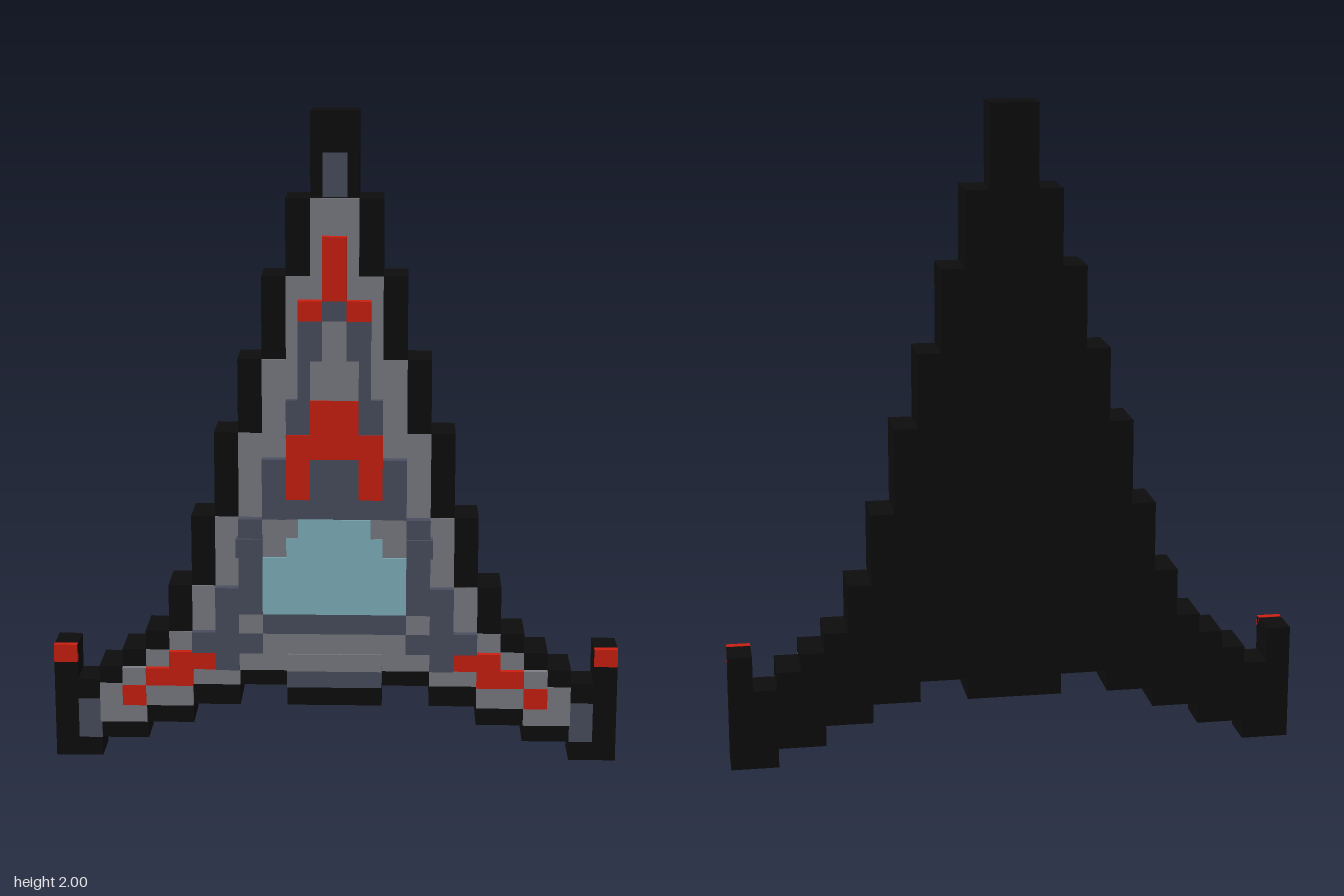
import * as THREE from 'three';

const P = 0.0725; // width of one column
const BACK = -0.1;
const mat = (color) => new THREE.MeshStandardMaterial({ color, flatShading: true });

export function createModel() {
  const model = new THREE.Group();
  const black = mat(0x0d0d0d), grey = mat(0x7b7d83), slate = mat(0x4a4d5f);
  const red = mat(0xcc1f10), glass = mat(0x80b2c0);

  function box(name, m, x0, x1, y0, y1, z0, z1) {
    const mesh = new THREE.Mesh(new THREE.BoxGeometry(x1 - x0, y1 - y0, z1 - z0), m);
    mesh.position.set((x0 + x1) / 2, (y0 + y1) / 2, (z0 + z1) / 2);
    mesh.name = name;
    model.add(mesh);
  }
  // x in columns from the centre line; a box starting at 0 spans both sides, others are mirrored
  function pair(name, m, c0, c1, y0, y1, z1, z0 = 0.03) {
    if (c0 === 0) return box(name, m, -c1 * P, c1 * P, y0, y1, z0, z1);
    box(name + 'Left', m, c0 * P, c1 * P, y0, y1, z0, z1);
    box(name + 'Right', m, -c1 * P, -c0 * P, y0, y1, z0, z1);
  }

  // black stepped hull: [column start, end, bottom, top]
  [[0, 1, 0.185, 1.75], [1, 2, 0.185, 1.75], [2, 3, 0.25, 1.52], [3, 4, 0.25, 1.27],
    [4, 5, 0.185, 1.045], [5, 6, 0.185, 0.785], [6, 7, 0.125, 0.567], [7, 8, 0.125, 0.42],
    [8, 9, 0.125, 0.36], [9, 10, 0.125, 0.305]]
    .forEach(([a, b, y0, y1]) => pair('hull', black, a, b, y0, y1, 0.055, BACK));
  pair('noseTip', black, 0, 1, 1.75, 2, 0.02, BACK);
  pair('wingUnderside', black, 8, 10, 0.06, 0.125, 0.02, BACK);
  pair('wingTipInner', black, 10, 11, 0, 0.25, 0.02, BACK);
  pair('wingTipOuter', black, 11, 12, 0, 0.36, 0.02, BACK);

  // grey plating inside the black outline
  [[0, 1, 0.3, 1.75], [1, 2, 0.3, 1.52], [2, 3, 0.3, 1.27], [3, 4, 0.3, 1.045],
    [4, 5, 0.25, 0.785], [5, 6, 0.25, 0.567], [6, 7, 0.185, 0.42], [7, 8, 0.185, 0.36],
    [8, 9, 0.125, 0.305], [9, 10, 0.125, 0.25]]
    .forEach(([a, b, y0, y1]) => pair('plating', grey, a, b, y0, y1, 0.058));

  // nose panels
  pair('noseInset', slate, 0, 0.5, 1.75, 1.88, 0.022, 0);
  pair('noseStripe', red, 0, 0.5, 1.45, 1.64, 0.09);
  pair('noseMark', red, 0.5, 1.5, 1.39, 1.45, 0.09);
  pair('noseBridge', slate, 0, 0.5, 1.39, 1.45, 0.085);
  pair('spine', grey, 0, 1, 1.15, 1.39, 0.08);
  pair('spineShoulder', slate, 0.5, 1.5, 1.27, 1.39, 0.085);
  pair('spineRail', slate, 1, 1.5, 1.15, 1.27, 0.085);
  pair('spineFoot', slate, 1, 2, 1.045, 1.15, 0.08);

  // red crest around the canopy hood
  pair('crestTop', red, 0, 1, 1.045, 1.15, 0.085);
  pair('crestBand', red, 0, 2, 0.97, 1.045, 0.085);
  pair('crestLeg', red, 1, 2, 0.845, 0.97, 0.085);
  pair('hood', slate, 0, 1, 0.785, 0.97, 0.085);
  pair('hoodCorner', slate, 1, 2, 0.785, 0.845, 0.085);
  pair('hoodSide', slate, 2, 3, 0.785, 0.97, 0.09);

  // stepped canopy and its frame
  pair('canopyTop', glass, 0, 1.5, 0.725, 0.785, 0.09);
  pair('canopyMiddle', glass, 0, 2, 0.667, 0.725, 0.09);
  pair('canopyBase', glass, 0, 3, 0.487, 0.667, 0.09);
  pair('canopyNotch', grey, 1.5, 3, 0.725, 0.785, 0.085);
  pair('canopyNotchLower', grey, 2, 3, 0.667, 0.725, 0.085);
  pair('canopySill', slate, 0, 3, 0.425, 0.487, 0.09);
  pair('frameTop', slate, 3, 4, 0.725, 0.785, 0.09);
  pair('frameBlock', slate, 3, 4.1, 0.667, 0.725, 0.1);
  pair('frameSide', slate, 3, 4, 0.487, 0.667, 0.095);
  pair('frameCorner', grey, 3, 4, 0.425, 0.487, 0.09);
  pair('frameFoot', slate, 3, 4, 0.36, 0.425, 0.085);

  // wing roots and wings
  pair('wingRoot', slate, 4, 5, 0.36, 0.567, 0.085);
  pair('wingRootOuter', slate, 5, 6, 0.36, 0.425, 0.085);
  pair('wingRootFoot', slate, 4, 5, 0.305, 0.36, 0.085);
  pair('wingStripeInner', red, 5, 7, 0.305, 0.36, 0.078);
  pair('wingStripeMiddle', red, 6, 8, 0.25, 0.305, 0.076);
  pair('wingStripeOuter', red, 8, 9, 0.185, 0.25, 0.075);
  pair('wingPlate', grey, 6, 8, 0.185, 0.25, 0.073);
  pair('wingPlateOuter', grey, 8, 9, 0.25, 0.305, 0.073);
  pair('wingTipInset', slate, 10, 11, 0.06, 0.185, 0.022, 0);
  pair('wingTipLight', red, 11, 12, 0.305, 0.361, 0.022, 0);

  // tail block
  pair('tailPlate', grey, 0, 3, 0.36, 0.425, 0.085);
  pair('tailSide', grey, 2, 4, 0.305, 0.36, 0.08);
  pair('tailBlock', grey, 0, 2, 0.305, 0.36, 0.09);
  pair('tailVent', slate, 0, 2, 0.25, 0.305, 0.08);

  return model;
}
